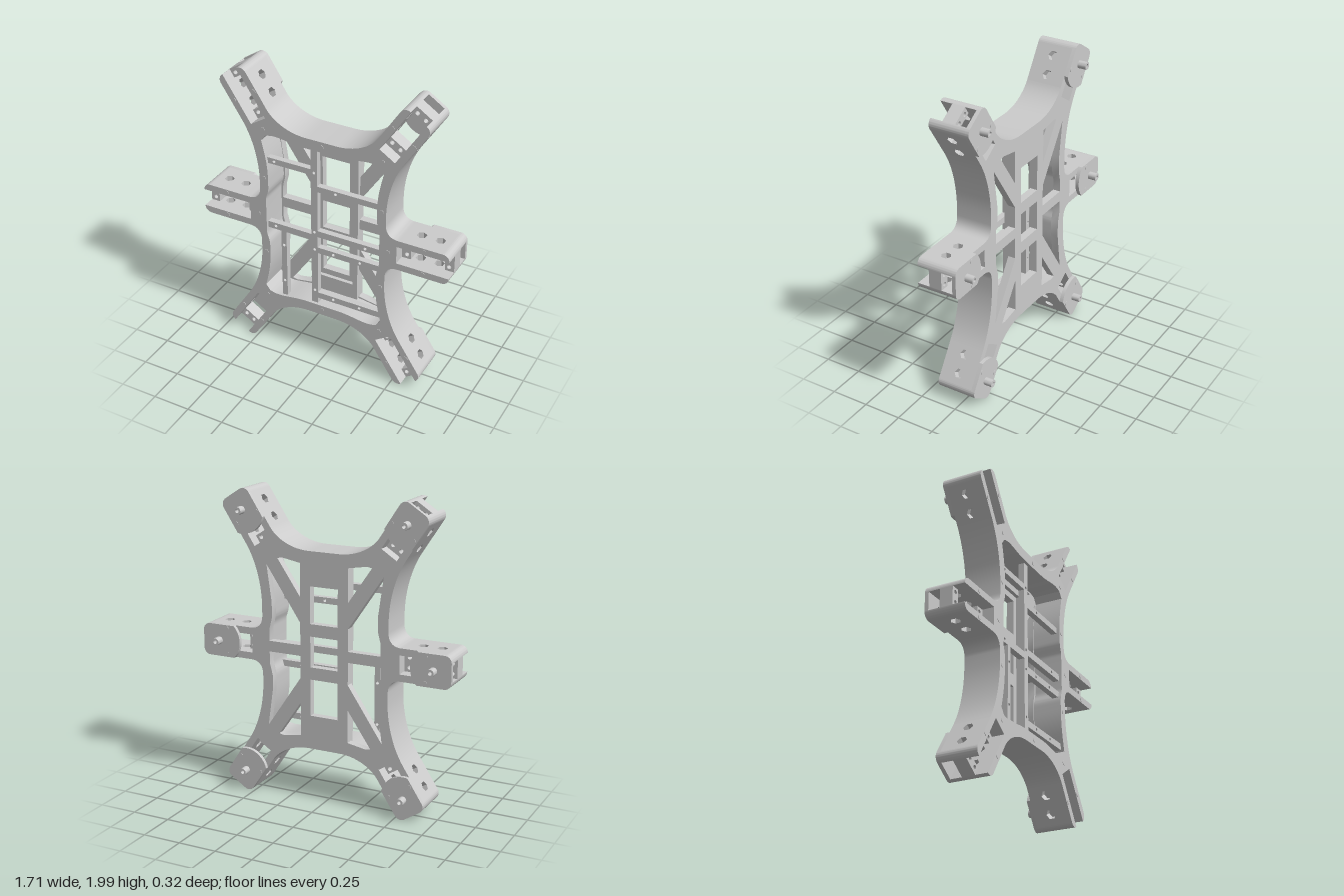
import * as THREE from 'three';
import { toCreasedNormals } from 'three/addons/utils/BufferGeometryUtils.js';

const material = new THREE.MeshStandardMaterial({ color: 0xcccccc });
const BACK = -0.08, FRONT = 0.16;
const HALF = 0.105, SLOT = 0.06, END = 0.115, ROUND = 0.045; // leg socket measures
const LEG_ANGLE = THREE.MathUtils.degToRad(57);
const PEG = [0.557, 0.86]; // hub of a corner leg, y measured from the middle

function add(parent, name, geometry) {
  const mesh = new THREE.Mesh(geometry, material);
  mesh.name = name;
  parent.add(mesh);
  return mesh;
}

// Flat shape extruded from z0 to z1
function slab(shape, z0, z1) {
  const g = new THREE.ExtrudeGeometry(shape, { depth: z1 - z0, bevelEnabled: false, curveSegments: 10 });
  g.translate(0, 0, z0);
  return toCreasedNormals(g, 0.5);
}

const polygon = (pts) => new THREE.Shape(pts.map(([x, y]) => new THREE.Vector2(x, y)));
const rect = (x0, x1, y0, y1) => polygon([[x0, y0], [x1, y0], [x1, y1], [x0, y1]]);

function hole(x, y, r, sides = 16, turn = 0) {
  const pts = [];
  for (let i = 0; i < sides; i++) {
    const a = turn + (i / sides) * Math.PI * 2;
    pts.push([x + r * Math.cos(a), y + r * Math.sin(a)]);
  }
  return polygon(pts);
}

function screw(parent, x, y, z) {
  const g = new THREE.CylinderGeometry(0.015, 0.015, 0.006, 16);
  g.rotateX(Math.PI / 2);
  add(parent, 'screw', g).position.set(x, y, z);
}

// Closed outline from one quadrant running from the +x axis to the +y axis
function mirrorQuadrant(q) {
  const right = [...q.slice().reverse().map(([x, y]) => [x, -y]), ...q];
  const all = [...right, ...right.slice().reverse().map(([x, y]) => [-x, y])];
  return all.filter(([x, y], i) => {
    const [px, py] = all[(i + all.length - 1) % all.length];
    return Math.hypot(x - px, y - py) > 1e-5;
  });
}

function curve(a, b, c, d) {
  const v = [a, b, c, d].map(([x, y]) => new THREE.Vector2(x, y));
  return new THREE.CubicBezierCurve(...v).getPoints(14).map((p) => [p.x, p.y]);
}

// Point given along and across a corner leg
function onLeg(t, s) {
  const c = Math.cos(LEG_ANGLE), n = Math.sin(LEG_ANGLE);
  return [PEG[0] + t * c - s * n, PEG[1] + t * n + s * c];
}

function outerQuadrant() {
  const low = onLeg(-0.18, -HALF), high = onLeg(-0.18, HALF);
  return [
    [0.51, 0], [0.51, SLOT], [0.56, SLOT], [0.56, HALF],
    ...curve([0.52, HALF], [0.47, HALF], [0.437, 0.13], [0.435, 0.19]),
    ...curve([0.435, 0.25], [0.435, 0.38], [0.47, 0.535], low),
    onLeg(-0.18, -SLOT), onLeg(-0.23, -SLOT), onLeg(-0.23, SLOT), onLeg(-0.18, SLOT),
    ...curve(high, [0.335, 0.71], [0.24, 0.64], [0.1, 0.64]),
    [0, 0.64],
  ];
}

function innerQuadrant() {
  return [
    [0.395, 0],
    ...curve([0.395, 0.11], [0.395, 0.16], [0.375, 0.16], [0.375, 0.22]),
    ...curve([0.375, 0.27], [0.375, 0.38], [0.395, 0.46], [0.415, 0.54]),
    ...curve([0.385, 0.58], [0.3, 0.61], [0.24, 0.57], [0.1, 0.57]),
    [0, 0.57],
  ];
}

// Leg socket along +x with its hub at the origin
function makeLeg() {
  const leg = new THREE.Group();
  leg.name = 'legSocket';
  for (const s of [1, -1]) {
    // Side wall with two hexagonal bolt holes
    const wall = rect(-0.18, 0.07, BACK, FRONT);
    for (const t of [0, -0.123]) wall.holes.push(hole(t, 0.035, 0.032, 6, Math.PI / 6));
    const g = slab(wall, 0, HALF - SLOT);
    g.rotateX(Math.PI / 2);
    g.translate(0, s > 0 ? HALF : -SLOT, 0);
    add(leg, 'socketWall', g);
    // Rounded end of the wall
    const tip = new THREE.Shape();
    tip.moveTo(0.07, s * SLOT);
    tip.lineTo(END, s * SLOT);
    tip.absarc(0.07, s * SLOT, ROUND, 0, s * Math.PI / 2, s < 0);
    add(leg, 'wallEnd', slab(tip, BACK, FRONT));
    screw(leg, -0.055, s * 0.083, FRONT);
    screw(leg, -0.055, s * 0.083, -0.105);
  }
  // Motor mounting bridges at both ends of the slot
  for (const [a, b, c] of [[-0.23, -0.17, -0.195], [0.055, END, 0.082]]) {
    const bridge = rect(a, b, -SLOT, SLOT);
    for (const s of [1, -1]) bridge.holes.push(hole(c, s * 0.032, 0.014));
    add(leg, 'motorBridge', slab(bridge, -0.005, 0.08));
  }
  // Back cover with an arched inner edge
  const cover = new THREE.Shape();
  const a = Math.PI - Math.asin(HALF / 0.15);
  cover.moveTo(0.07, HALF);
  cover.absarc(0, 0, 0.15, a, 2 * Math.PI - a, false);
  cover.absarc(0.07, -SLOT, ROUND, -Math.PI / 2, 0, false);
  cover.absarc(0.07, SLOT, ROUND, 0, Math.PI / 2, false);
  cover.holes.push(hole(0, 0, 0.012));
  add(leg, 'backCover', slab(cover, -0.105, BACK));
  // Hollow pivot pin
  const pin = hole(0, 0, 0.025, 24);
  pin.holes.push(hole(0, 0, 0.012));
  add(leg, 'pivotPin', slab(pin, -0.16, -0.105));
  return leg;
}

export function createModel() {
  const model = new THREE.Group();
  model.name = 'walkerFrame';
  const frame = new THREE.Group();
  frame.name = 'frame';
  frame.position.y = 1;
  model.add(frame);

  // Deep curved rim
  const inner = mirrorQuadrant(innerQuadrant());
  const rim = polygon(mirrorQuadrant(outerQuadrant()));
  rim.holes.push(polygon(inner));
  add(frame, 'rim', slab(rim, BACK, FRONT));

  // Back panel with braces and windows
  const panel = polygon(inner);
  for (const y of [-0.42, -0.1, 0.18]) {
    panel.holes.push(rect(-0.095, 0.095, y, y + (y === -0.1 ? 0.2 : 0.24)));
  }
  const windows = [
    [[0.165, 0.345], [0.322, 0.575], [0.29, 0.582], [0.165, 0.56]],
    [[0.165, 0.035], [0.385, 0.035], [0.385, 0.11], [0.365, 0.19], [0.366, 0.29], [0.4, 0.53], [0.165, 0.18]],
  ];
  for (const sx of [1, -1]) for (const sy of [1, -1]) for (const w of windows) {
    panel.holes.push(polygon(w.map(([x, y]) => [sx * x, sy * y])));
  }
  add(frame, 'backPanel', slab(panel, BACK, -0.03));

  // Raised border of the centre column
  const border = rect(-0.165, 0.165, -0.57, 0.57);
  border.holes.push(rect(-0.13, 0.13, -0.46, 0.46));
  add(frame, 'columnBorder', slab(border, -0.03, -0.005));

  // Front cross bars: x0, x1, y0, y1 and hole centres
  const bars = [
    [-0.085, -0.04, -0.58, 0.58, [[-0.0625, 0.4], [-0.0625, -0.03], [-0.0625, -0.16], [-0.0625, -0.475]]],
    [-0.39, -0.085, 0.38, 0.42, [[-0.34, 0.4]]],
    [-0.04, 0.39, 0.27, 0.31, [[0.085, 0.29]]],
    [-0.04, 0.41, -0.06, -0.015, [[0.29, -0.04]]],
    [-0.41, -0.085, -0.095, -0.05, [[-0.34, -0.072]]],
    [-0.04, 0.4, -0.18, -0.138, [[0.07, -0.16], [0.255, -0.16]]],
    [-0.04, 0.41, -0.53, -0.488, [[0.07, -0.509], [0.255, -0.509]]],
    [-0.302, -0.265, -0.6, -0.095, [[-0.284, -0.2], [-0.284, -0.475]]],
  ];
  for (const [x0, x1, y0, y1, holes] of bars) {
    const bar = rect(x0, x1, y0, y1);
    for (const [x, y] of holes) bar.holes.push(hole(x, y, 0.01, 12));
    add(frame, 'crossBar', slab(bar, 0.1, 0.14));
  }

  // Rim screws
  for (const s of [1, -1]) {
    screw(frame, 0, s * 0.605, FRONT);
    screw(frame, s * 0.452, 0, FRONT);
    for (const t of [1, -1]) {
      screw(frame, s * 0.403, t * 0.62, FRONT);
      screw(frame, s * 0.405, t * 0.275, FRONT);
    }
  }

  // Six leg sockets
  const places = [[0.74, 0, 0], [-0.74, 0, Math.PI]];
  for (const s of [1, -1]) {
    places.push([PEG[0], s * PEG[1], s * LEG_ANGLE], [-PEG[0], s * PEG[1], Math.PI - s * LEG_ANGLE]);
  }
  for (const [x, y, angle] of places) {
    const leg = makeLeg();
    leg.position.set(x, y, 0);
    leg.rotation.z = angle;
    frame.add(leg);
  }
  return model;
}
